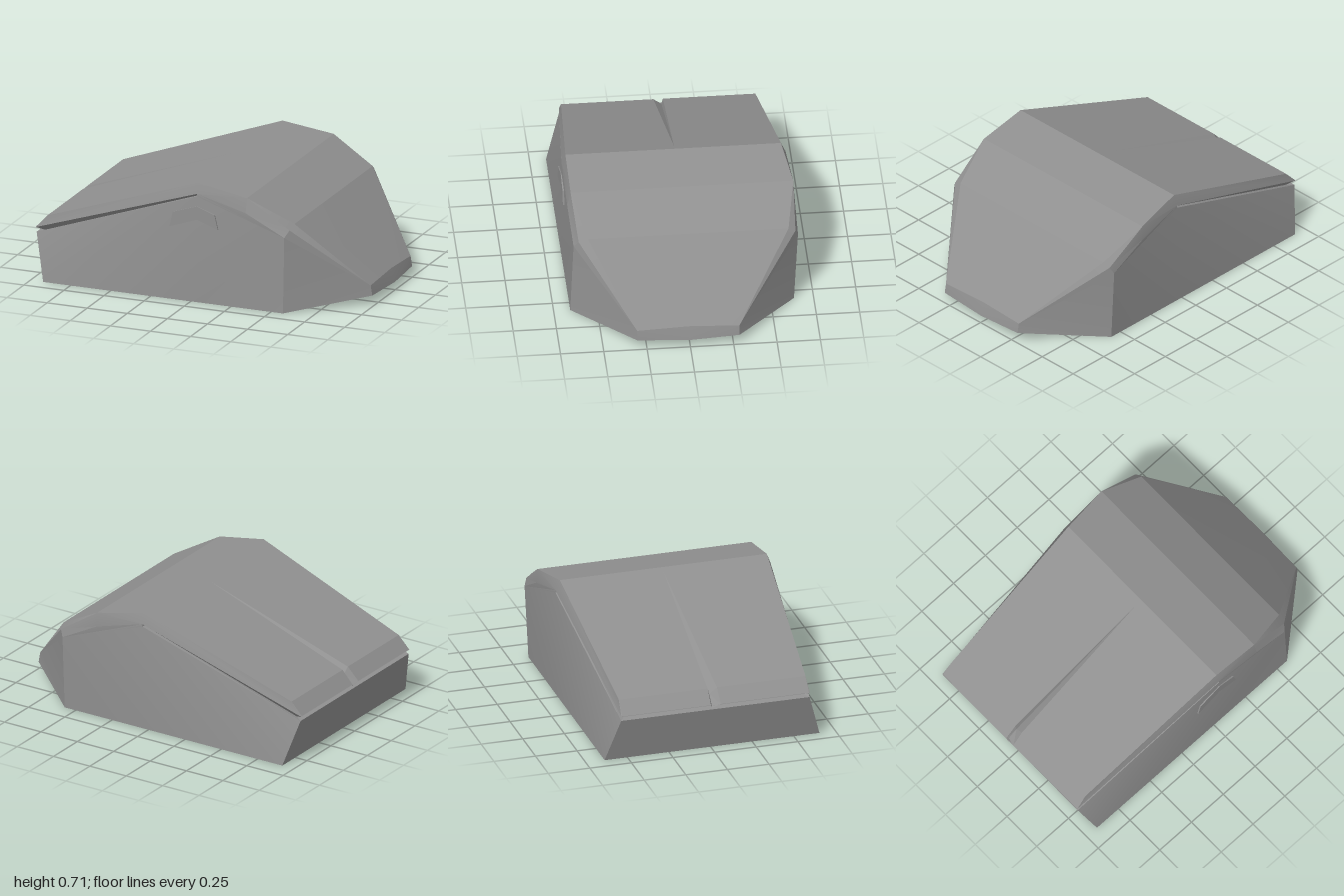
import * as THREE from 'three';
import { toCreasedNormals } from 'three/addons/utils/BufferGeometryUtils.js';

const V = (x, y, z) => new THREE.Vector3(x, y, z);
const CENTRE = V(0, 0.25, 0);
const material = new THREE.MeshStandardMaterial({ color: 0x909090, side: THREE.DoubleSide });

// Polygons turned to face away from an inner point; edges sharper than the crease angle stay hard
function facets(name, polygons, crease = 0.15, inner = CENTRE) {
  const out = [];
  for (const p of polygons) {
    for (let i = 1; i < p.length - 1; i++) {
      const t = new THREE.Triangle(p[0], p[i], p[i + 1]);
      const n = t.getNormal(V(0, 0, 0));
      const order = n.dot(t.a.clone().sub(inner)) < 0 ? [t.a, t.c, t.b] : [t.a, t.b, t.c];
      for (const v of order) out.push(v.x, v.y, v.z);
    }
  }
  const g = new THREE.BufferGeometry();
  g.setAttribute('position', new THREE.Float32BufferAttribute(out, 3));
  const mesh = new THREE.Mesh(toCreasedNormals(g, crease), material);
  mesh.name = name;
  return mesh;
}

// Key corners of one flank; the two flanks differ slightly in width
function flank(s, w) {
  const p = (x, y, z) => V(x, y, s * z);
  return {
    foot: [p(-0.92, 0, w.foot), p(0.04, 0, w.foot), p(0.575, 0, w.foot)],
    wall: [p(-0.995, 0.27, w.tail), p(0.04, 0.64, w.mid), p(0.575, 0.45, w.shoulder)],
    rim: [p(-1, 0.297, w.tail), p(0.04, 0.655, w.mid), p(0.34, 0.575, w.flare)],
    roof: [p(-1, 0.3, w.tail - 0.005), p(-0.93, 0.375, w.tail - 0.005), p(0.04, 0.715, w.crest),
      p(0.34, 0.66, w.brow), p(0.605, 0.515, w.hood)],
    groove: [p(-0.95, 0.277, w.tail - 0.03), p(0.04, 0.641, w.mid - 0.02)],
    nose: [p(0.975, 0.115, w.nose), p(0.985, 0.055, w.nose)],
    bend: p(0.596, 0.49, (w.shoulder + w.hood) / 2 + 0.012),
  };
}

export function createModel() {
  const model = new THREE.Group();
  const L = flank(1, { foot: 0.654, tail: 0.572, mid: 0.654, flare: 0.65, shoulder: 0.635, crest: 0.632, brow: 0.63, hood: 0.555, nose: 0.305 });
  const R = flank(-1, { foot: 0.637, tail: 0.56, mid: 0.638, flare: 0.66, shoulder: 0.66, crest: 0.612, brow: 0.655, hood: 0.603, nose: 0.285 });
  const noseTop = V(0.975, 0.128, 0), noseLow = V(0.998, 0.047, 0);

  // Side walls, the groove under the shell and the shell's edges
  for (const [side, f] of [['left', L], ['right', R]]) {
    model.add(facets(side + 'Wall', [
      [f.foot[0], f.foot[1], f.wall[1], f.wall[0]],
      [f.foot[1], f.foot[2], f.wall[2], f.wall[1]],
      [f.foot[2], f.nose[1], f.nose[0], f.wall[2]],
    ], 0.45));
    model.add(facets(side + 'Groove', [
      [f.wall[0], f.wall[1], f.groove[1], f.groove[0]],
      [f.rim[0], f.rim[1], f.groove[1], f.groove[0]],
      [f.wall[1], f.rim[1], f.groove[1]],
    ]));
    model.add(facets(side + 'ShellEdge', [
      [f.rim[0], f.roof[1], f.roof[0]],
      [f.rim[0], f.rim[1], f.roof[2], f.roof[1]],
      [f.rim[1], f.rim[2], f.roof[3], f.roof[2]],
      [f.rim[1], f.wall[1], f.wall[2], f.rim[2]],
      [f.rim[2], f.wall[2], f.bend, f.roof[3]],
      [f.roof[3], f.bend, f.roof[4]],
      [f.wall[2], f.nose[0], f.bend],
      [f.bend, f.nose[0], f.roof[4]],
    ], 0.45));
  }

  // Upper shell, divided by a tapering slit
  const tip = V(0, 0.701, 0);
  const slit = {};
  for (const [key, z0, z1, dy] of [['l', 0.037, 0.034, 0], ['r', -0.022, -0.021, 0], ['floor', -0.014, -0.012, -0.035]]) {
    slit[key] = [V(-1, 0.3 + dy * 0.5, z0), V(-0.93, 0.375 + dy, z1)];
  }
  const panels = [[L, slit.l], [R, slit.r]].flatMap(([f, e]) => [
    [f.roof[0], f.roof[1], e[1], e[0]],
    [f.roof[1], f.roof[2], tip, e[1]],
  ]);
  model.add(facets('shell', [
    ...panels,
    [tip, L.roof[2], R.roof[2]],
    [L.roof[2], L.roof[3], R.roof[3], R.roof[2]],
    [L.roof[3], L.roof[4], R.roof[4], R.roof[3]],
    [noseTop, R.nose[0], R.roof[4], L.roof[4], L.nose[0]],
  ]));
  for (const e of [slit.l, slit.r]) {
    model.add(facets('slitWall', [
      [e[0], e[1], slit.floor[1], slit.floor[0]],
      [e[1], tip, slit.floor[1]],
    ], 0.15, V(-0.5, -3, e[0].z * 60)));
  }

  // Nose, tail and underside
  model.add(facets('nose', [
    [L.nose[0], L.nose[1], noseLow, noseTop],
    [R.nose[0], R.nose[1], noseLow, noseTop],
  ]));
  model.add(facets('tail', [
    [L.foot[0], L.wall[0], R.wall[0], R.foot[0]],
    [L.wall[0], L.groove[0], R.groove[0], R.wall[0]],
    [L.groove[0], L.rim[0], R.rim[0], R.groove[0]],
  ]));
  model.add(facets('underside', [
    [L.foot[0], L.foot[2], R.foot[2], R.foot[0]],
    [noseLow, L.nose[1], L.foot[2], R.foot[2], R.nose[1]],
  ]));

  // Chevron thumb button, almost flush with the left wall
  const outline = [[0.04, 0.5], [-0.13, 0.44], [-0.11, 0.53], [0.04, 0.58], [0.15, 0.54], [0.17, 0.455]];
  const face = outline.map(([x, y]) => V(x, y, x < 0 ? 0.661 : 0.659));
  const back = outline.map(([x, y]) => V(x, y, 0.63));
  model.add(facets('thumbButton', [
    face,
    ...face.map((p, i) => [p, face[(i + 1) % 6], back[(i + 1) % 6], back[i]]),
  ], 0.15, V(0.03, 0.53, 0.64)));

  return model;
}
